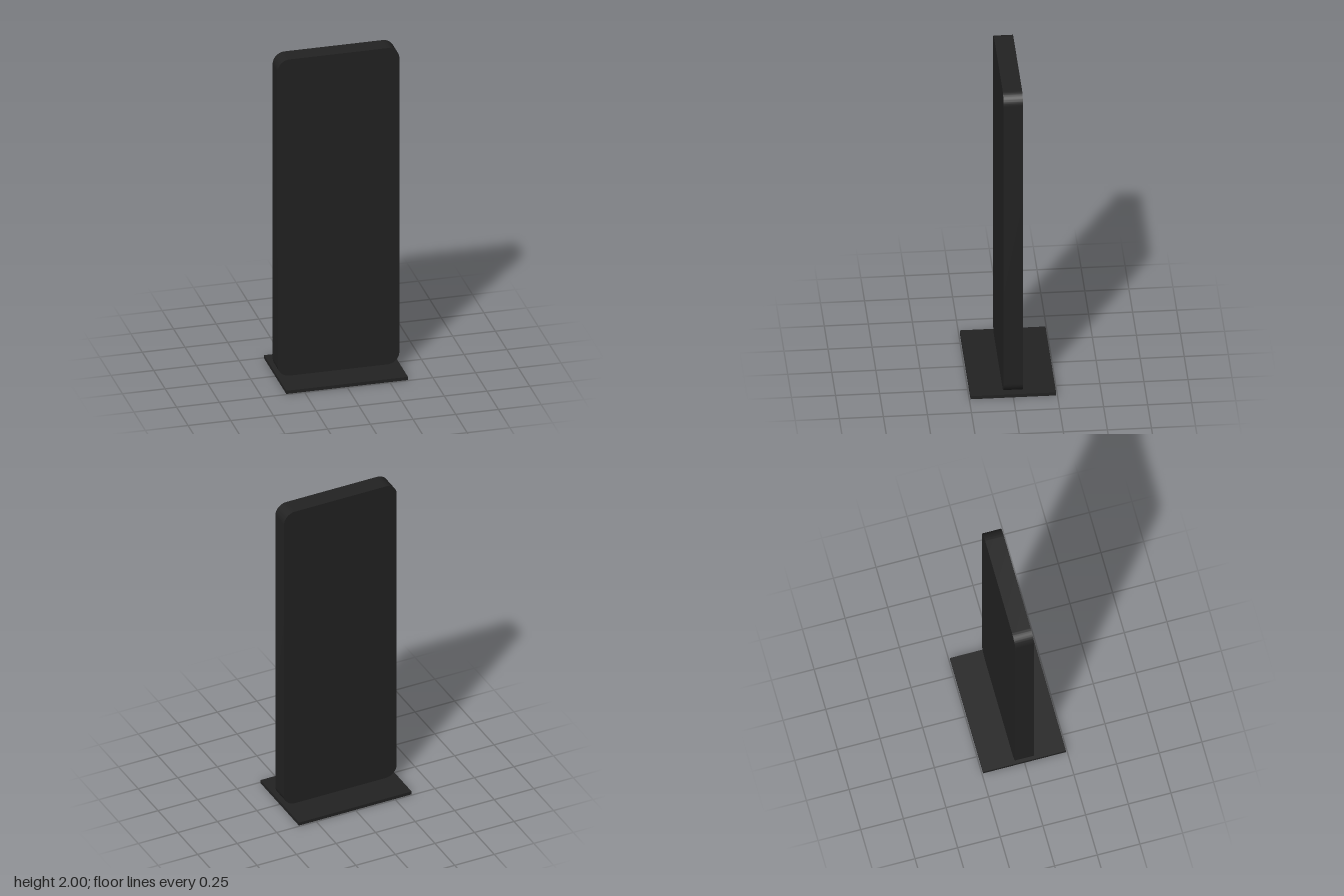
import * as THREE from 'three';
import { toCreasedNormals } from 'three/addons/utils/BufferGeometryUtils.js';

const HALF_WIDTH = 0.356, BASE_HEIGHT = 0.02, TOP = 2;
const PANEL_DEPTH = 0.11, BASE_DEPTH = 0.486, RADIUS = 0.07;

// Upright rectangle with four rounded corners
function roundedRect(x0, y0, x1, y1, r) {
  const shape = new THREE.Shape();
  shape.absarc(x1 - r, y0 + r, r, -Math.PI / 2, 0);
  shape.absarc(x1 - r, y1 - r, r, 0, Math.PI / 2);
  shape.absarc(x0 + r, y1 - r, r, Math.PI / 2, Math.PI);
  shape.absarc(x0 + r, y0 + r, r, Math.PI, Math.PI * 1.5);
  shape.closePath();
  return shape;
}

export function createModel() {
  const group = new THREE.Group();
  group.name = 'displayStand';
  const charcoal = new THREE.MeshStandardMaterial({ color: 0x222222 });
  charcoal.name = 'charcoal';

  // Upright panel, smooth round the corners and sharp at the face edges
  const outline = roundedRect(-HALF_WIDTH, BASE_HEIGHT, HALF_WIDTH, TOP, RADIUS);
  const panelGeometry = new THREE.ExtrudeGeometry(outline, {
    depth: PANEL_DEPTH, bevelEnabled: false, curveSegments: 12,
  });
  panelGeometry.translate(0, 0, -PANEL_DEPTH / 2);
  const panel = new THREE.Mesh(toCreasedNormals(panelGeometry, 0.5), charcoal);
  panel.name = 'panel';
  group.add(panel);

  // Flat foot plate
  const base = new THREE.Mesh(
    new THREE.BoxGeometry(HALF_WIDTH * 2, BASE_HEIGHT, BASE_DEPTH), charcoal);
  base.name = 'basePlate';
  base.position.y = BASE_HEIGHT / 2;
  group.add(base);

  return group;
}
